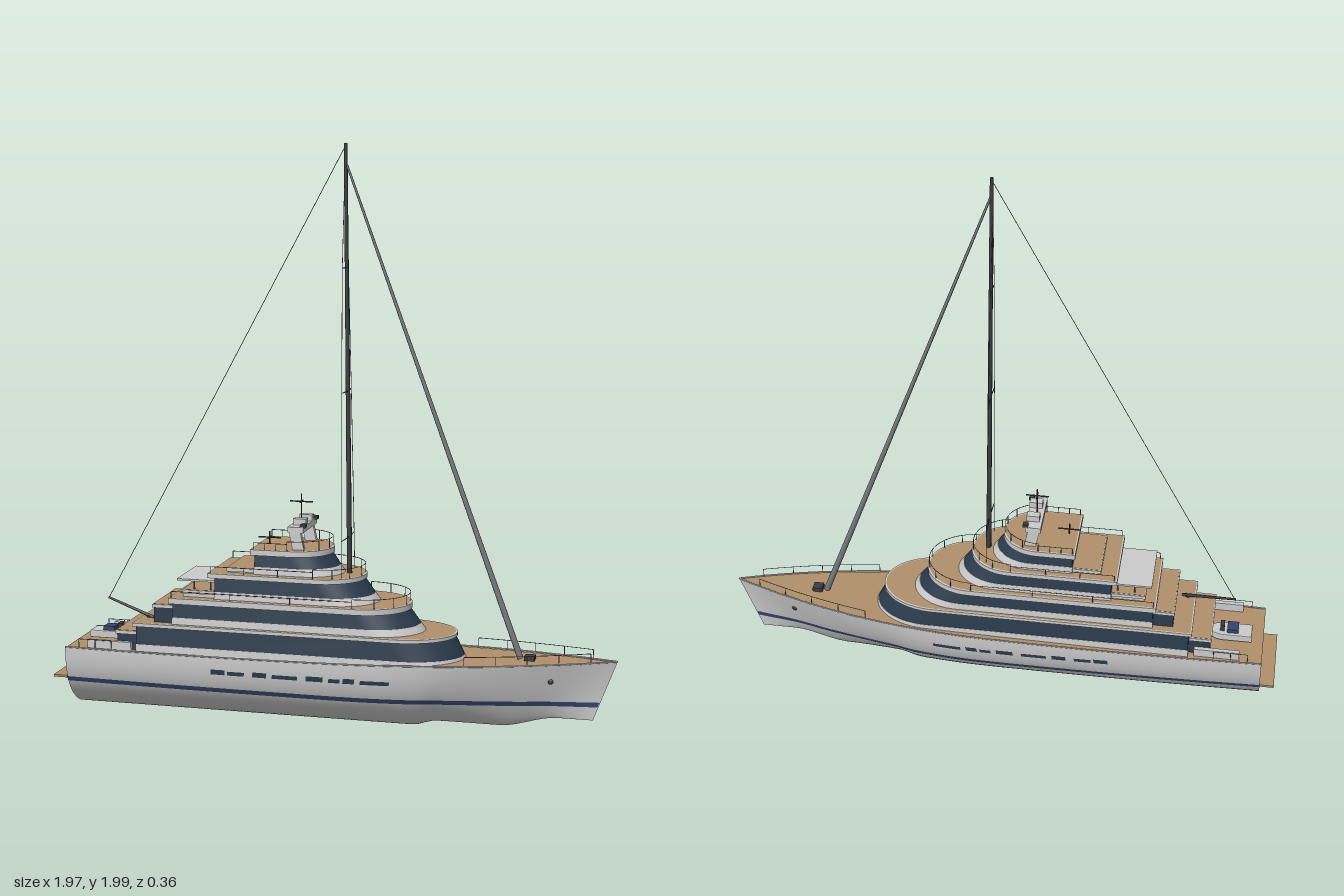
import * as THREE from 'three';
import { toCreasedNormals } from 'three/addons/utils/BufferGeometryUtils.js';

const V = (x, y, z) => new THREE.Vector3(x, y, z);
const { lerp, smoothstep } = THREE.MathUtils;
const mat = (color, side = THREE.FrontSide) => new THREE.MeshStandardMaterial({ color, side });
const white = mat(0xcccccc), glass = mat(0x2b3b4d), teak = mat(0xb0906c, THREE.DoubleSide);
const navy = mat(0x34456b), dark = mat(0x3a3c3e), wire = mat(0x77797b);

// Surface grid from a rule fn(u, v); faces point along du x dv
function grid(fn, nu, nv, flip = false) {
  const pos = [], idx = [];
  for (let j = 0; j <= nv; j++)
    for (let i = 0; i <= nu; i++) pos.push(...fn(i / nu, j / nv).toArray());
  for (let j = 0; j < nv; j++)
    for (let i = 0; i < nu; i++) {
      const a = j * (nu + 1) + i, b = a + 1, c = b + nu + 1, d = a + nu + 1;
      idx.push(...(flip ? [a, c, b, a, d, c] : [a, b, c, a, c, d]));
    }
  const g = new THREE.BufferGeometry();
  g.setAttribute('position', new THREE.Float32BufferAttribute(pos, 3));
  g.setIndex(idx);
  g.computeVertexNormals();
  return g;
}

// Hull shape: sheer, keel, beam and section fullness
const sheer = x => 0.245 + 0.035 * ((x + 0.94) / 1.92) ** 2;
const beam = x => x < 0 ? 0.175 - 0.02 * (x / 0.94) ** 2 : 0.175 * Math.max(0, 1 - (x / 0.98) ** 2.2);
function hullPoint(u, s, side = 1, out = 0) {
  const xd = lerp(-0.94, 0.98, u), xk = lerp(-0.94, 0.9, u);
  const k = 0.01 + 0.02 * smoothstep(xk, 0.28, 0.36) + 0.04 * smoothstep(xk, 0.58, 0.78);
  const full = (1 - (1 - s) ** 2.6) ** 0.75, fine = s ** 0.7;
  const z = beam(xd) * lerp(full, fine, smoothstep(u, 0.55, 1)) + out;
  return V(lerp(xk, xd, s), lerp(k, sheer(xd), s), side * z);
}
// Point on the hull side at a given height
function hullAt(x, y, side, out) {
  const u = (x + 0.94) / 1.9, k = hullPoint(u, 0).y, d = hullPoint(u, 1).y;
  return hullPoint(u, (y - k) / (d - k), side, out);
}

// Plan outline: square stern, straight sides, elliptical nose
const ARC = 28;
function outline({ a, f, w, n = 0.2 }) {
  const p = [[a, w]];
  for (let i = 0; i <= ARC; i++) {
    const t = Math.PI * i / ARC;
    p.push([f - n + n * Math.sin(t), w * Math.cos(t)]);
  }
  p.push([a, -w], [a, w]);
  return p;
}
// Solid through stacked outlines, closed on top
function loft(rings) {
  const loops = rings.map(r => outline(r).map(([x, z]) => V(x, r.y, z)));
  loops.push(loops.at(-1).map(p => V(p.x, p.y, 0)));
  const nu = loops[0].length - 1, nv = loops.length - 1;
  return toCreasedNormals(grid((u, v) => loops[Math.round(v * nv)][Math.round(u * nu)], nu, nv), 0.5);
}

export function createModel() {
  const root = new THREE.Group();
  const add = (name, geo, m, parent = root) => {
    const mesh = new THREE.Mesh(geo, m);
    mesh.name = name;
    parent.add(mesh);
    return mesh;
  };
  const box = (name, m, x0, x1, y0, y1, z0, z1) => {
    const b = add(name, new THREE.BoxGeometry(x1 - x0, y1 - y0, z1 - z0), m);
    b.position.set((x0 + x1) / 2, (y0 + y1) / 2, (z0 + z1) / 2);
    return b;
  };
  const rod = (name, m, p, q, r0, r1 = r0, sides = 6) => {
    const b = add(name, new THREE.CylinderGeometry(r1, r0, p.distanceTo(q), sides), m);
    b.position.copy(p).lerp(q, 0.5);
    b.quaternion.setFromUnitVectors(V(0, 1, 0), q.clone().sub(p).normalize());
    return b;
  };
  // Handrail with posts standing on a line of deck points
  const rail = (name, pts, h, step) => {
    const up = pts.map(p => p.clone().setY(p.y + h));
    for (let i = 1; i < pts.length; i++) rod(name, wire, up[i - 1], up[i], 0.0013, 0.0013, 4);
    for (let i = 0; i < pts.length; i += step) rod(name + 'Post', wire, pts[i], up[i], 0.0013, 0.0013, 4);
  };

  // Hull sides, boot stripe, side windows, anchors, bow rails
  const panes = [[-0.4, -0.35], [-0.34, -0.28], [-0.25, -0.2], [-0.18, -0.09], [-0.06, 0], [0.02, 0.06], [0.07, 0.11], [0.13, 0.23]];
  for (const s of [1, -1]) {
    add('hullSide', grid((u, v) => hullPoint(u, v * v * (3 - 2 * v), s), 64, 20, s < 0), white);
    add('bootStripe', grid((u, v) => hullAt(lerp(-0.94, 0.957, u), lerp(0.117, 0.134, v), s, 0.0015), 60, 2, s < 0), navy);
    panes.forEach(([a, b], i) => add('hullWindow', grid((u, v) =>
      hullAt(lerp(a, b, u), lerp(0.186, i % 2 ? 0.2 : 0.204, v), s, 0.0015), 4, 2, s < 0), glass));
    const anchor = add('anchor', new THREE.SphereGeometry(0.01, 10, 8), dark);
    anchor.position.copy(hullAt(0.765, 0.21, s, 0));
    anchor.scale.z = 0.5;
    const edge = Array.from({ length: 9 }, (_, i) => hullPoint(lerp(0.74, 0.955, i / 8), 1, s, -0.003));
    rail('bowRail', edge, 0.032, 2);
    // Rounded bulwark cap
    const cap = Array.from({ length: 30 }, (_, i) => hullPoint(i / 29, 1, s));
    add('bulwarkCap', new THREE.TubeGeometry(new THREE.CatmullRomCurve3(cap), 60, 0.003, 5), white);
  }
  add('transom', grid((u, v) => { const p = hullPoint(0, v); p.z *= 2 * u - 1; return p; }, 2, 20), white);
  add('mainDeck', grid((u, v) => { const p = hullPoint(u, 0.985); p.z *= 1 - 2 * v; return p; }, 64, 2), teak);
  box('swimPlatform', teak, -0.99, -0.94, 0.13, 0.138, -0.143, 0.143);

  // Four decks of cabins: plinth, raked window band, roof slab with teak on top
  const decks = [
    { a: -0.68, f: 0.47, g: 0.425, w: 0.152, y: [0.24, 0.27, 0.333, 0.345], back: -0.69, n: 0.2, over: 0.004 },
    { a: -0.55, f: 0.32, g: 0.265, w: 0.138, y: [0.345, 0.37, 0.42, 0.44], back: -0.56, n: 0.17, over: 0.012 },
    { a: -0.40, f: 0.16, g: 0.105, w: 0.126, y: [0.44, 0.467, 0.517, 0.533], back: -0.42, n: 0.15, over: 0.014 },
    { a: -0.26, f: 0.035, g: -0.01, w: 0.112, y: [0.533, 0.56, 0.602, 0.622], back: -0.27, n: 0.13, over: 0.012 },
  ];
  decks.forEach(({ a, f, g, w, y, back, n, over }, i) => {
    const ring = (yy, inset = 0) => {
      const t = (yy - y[0]) / (y[2] - y[0]);
      return { y: yy, a: a + inset, f: lerp(f, g, t) - inset, w: w - 0.006 * t - inset, n };
    };
    add('cabinPlinth', loft([ring(y[0]), ring(y[1])]), white);
    add('windowBand', loft([ring(y[1], 0.001), ring(y[2], 0.001)]), glass);
    const slab = { a: back, f: g + 0.006, w: w + over - 0.004, n };
    add('roofSlab', loft([{ ...slab, w: 0, y: y[2] }, { ...slab, y: y[2] }, { ...slab, y: y[3] }]), white);
    add('roofDeck', loft([{ ...slab, a: back + 0.005, f: g, w: slab.w - 0.005, y: y[3] + 0.001 }]), teak);
    if (i) rail('deckRail', outline({ ...slab, f: g, w: slab.w - 0.004 }).slice(1, -2).map(([x, z]) => V(x, y[3], z)), 0.033, 4);
    // Side rails further aft
    if (i) for (const s of [1, -1])
      rail('sideRail', [0, 0.33, 0.66, 1].map(t => V(lerp(back + 0.01, g - n, t), y[3], s * (slab.w - 0.004))), 0.024, 1);
  });

  // Stepped aft terraces
  [[-0.76, -0.68, 0.24, 0.31, 0.125], [-0.625, -0.55, 0.345, 0.41, 0.12], [-0.52, -0.4, 0.44, 0.465, 0.11], [-0.36, -0.26, 0.533, 0.55, 0.1]]
    .forEach(([x0, x1, y0, y1, w], i) => {
      box('terraceWall', i < 2 ? glass : white, x0 + 0.004, x1, y0, y1 - 0.008, -w, w);
      box('terraceRoof', white, x0, x1, y1 - 0.012, y1, -w - 0.005, w + 0.005);
      box('terraceDeck', teak, x0 + 0.003, x1, y1, y1 + 0.001, -w, w);
    });
  for (const s of [1, -1]) {
    box('sternLocker', white, -0.86, -0.7, 0.24, 0.272, s * 0.135 - 0.008, s * 0.135 + 0.008);
    rail('sternRail', [-0.89, -0.83, -0.77].map(x => V(x, 0.245, s * 0.15)), 0.03, 1);
  }

  // Sun canopy on posts
  box('canopy', white, -0.54, -0.4, 0.495, 0.502, -0.105, 0.105);
  for (const x of [-0.48, -0.42]) for (const z of [-0.095, 0.095])
    rod('canopyPost', wire, V(x, 0.44, z), V(x, 0.497, z), 0.003);

  // Tender, seat and crane on the aft deck
  const hullShape = new THREE.Shape();
  hullShape.moveTo(-0.075, -0.032);
  hullShape.lineTo(0.03, -0.032);
  hullShape.quadraticCurveTo(0.065, -0.025, 0.075, 0);
  hullShape.quadraticCurveTo(0.065, 0.025, 0.03, 0.032);
  hullShape.lineTo(-0.075, 0.032);
  const tender = add('tender', new THREE.ExtrudeGeometry(hullShape, { depth: 0.02, bevelSize: 0.003, bevelThickness: 0.003, bevelSegments: 2 }), white);
  tender.rotation.x = -Math.PI / 2;
  tender.position.set(-0.82, 0.252, -0.015);
  box('tenderSeat', navy, -0.85, -0.81, 0.272, 0.29, -0.038, 0.01);
  box('tenderConsole', dark, -0.8, -0.785, 0.272, 0.3, -0.03, 0);
  rod('craneArm', dark, V(-0.83, 0.395, 0.005), V(-0.64, 0.347, 0.064), 0.004, 0.006);
  rod('cranePost', dark, V(-0.66, 0.31, 0.058), V(-0.66, 0.352, 0.058), 0.008);

  // Radar arch, domes and antennas
  for (const s of [1, -1]) {
    const leg = box('archLeg', white, -0.135, -0.095, 0.62, 0.7, s * 0.082 - 0.009, s * 0.082 + 0.009);
    leg.rotation.z = 0.2;
    box('archPod', white, -0.135, -0.09, 0.7, 0.724, s * 0.04 - 0.014, s * 0.04 + 0.014);
    box('archLamp', dark, -0.1, -0.082, 0.7, 0.712, s * 0.08 - 0.01, s * 0.08 + 0.01);
  }
  box('archBeam', white, -0.145, -0.09, 0.682, 0.702, -0.092, 0.092);
  const cross = (x, y0, y1, yc) => {
    rod('antennaMast', dark, V(x, y0, 0), V(x, y1, 0), 0.0025);
    rod('antennaArm', dark, V(x - 0.04, yc, 0), V(x + 0.04, yc, 0), 0.0025);
    rod('antennaArm', dark, V(x, yc, -0.02), V(x, yc, 0.02), 0.0025);
  };
  cross(-0.12, 0.7, 0.802, 0.775);
  cross(-0.235, 0.62, 0.665, 0.643);

  // Mast, furled headsail, backstay, spreaders and shrouds
  const mastX = y => lerp(0.052, 0.036, (y - 0.5) / 1.5);
  rod('mast', dark, V(mastX(0.5), 0.5, 0), V(0.036, 2, 0), 0.009, 0.006, 10);
  rod('furledHeadsail', wire, V(0.65, 0.27, 0), V(0.04, 1.93, 0), 0.011, 0.004, 8);
  rod('backstay', wire, V(-0.83, 0.395, 0), V(0.035, 1.99, 0), 0.0012, 0.0012, 4);
  const shroud = [[0.53, 0.092], [0.66, 0.088], [1.165, 0.067], [1.585, 0.042], [1.85, 0.003]];
  for (const s of [1, -1]) {
    for (let i = 1; i < shroud.length; i++) {
      const [p, q] = [shroud[i - 1], shroud[i]].map(([y, z]) => V(mastX(y) - 0.005, y, s * z));
      rod('shroud', wire, p, q, 0.0011, 0.0011, 4);
      if (i < 4) rod('spreader', dark, V(mastX(q.y), q.y, 0), q, 0.0025, 0.0015);
    }
  }
  box('headsailBase', dark, 0.665, 0.7, 0.255, 0.282, -0.018, 0.018);
  return root;
}
